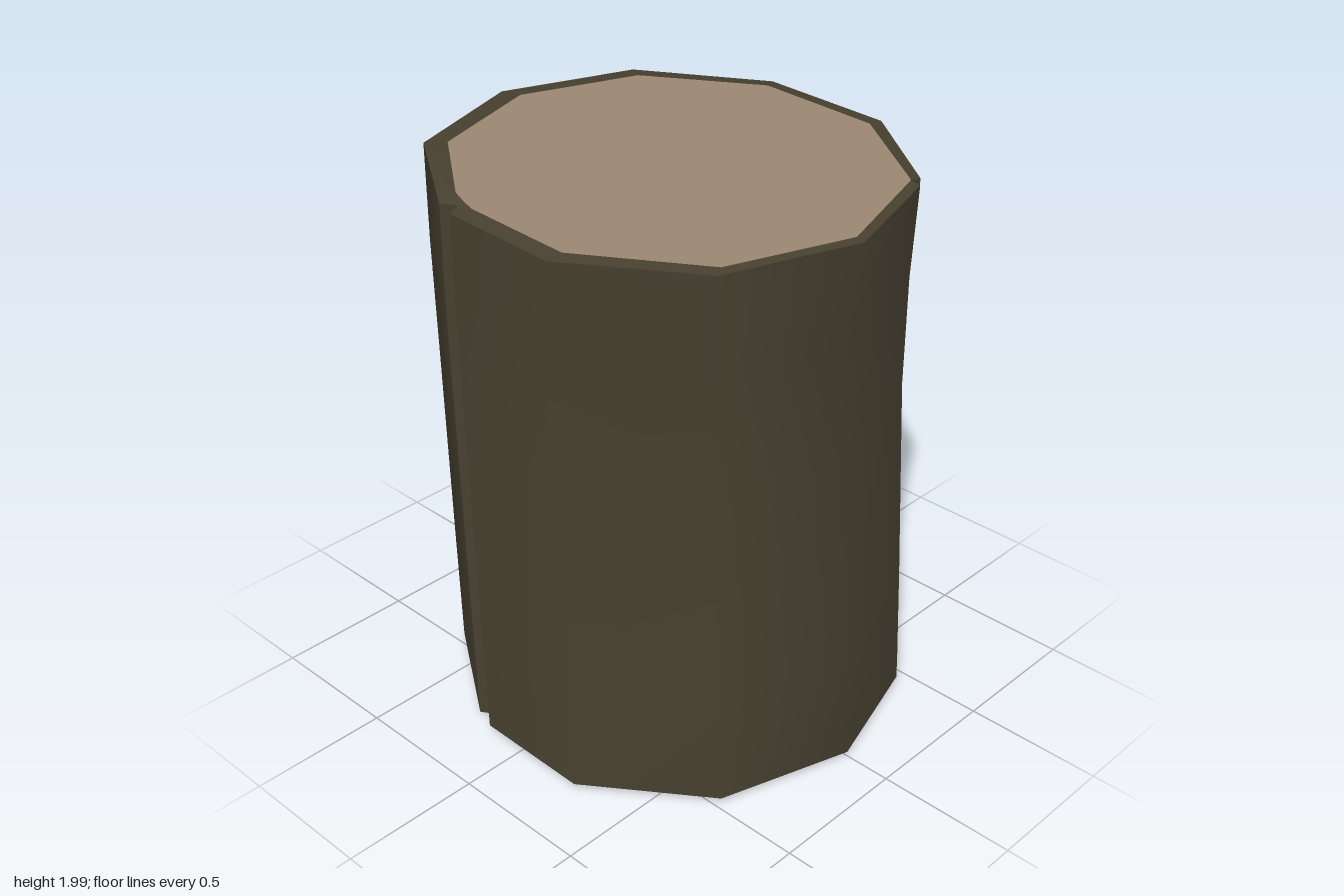
import * as THREE from 'three';
import { toCreasedNormals } from 'three/addons/utils/BufferGeometryUtils.js';

// Ten-sided outline with two split corners: bark x, z and heartwood x, z
const OUTLINE = [
  [0, 0.805, 0, 0.75],
  [0.445, 0.67, 0.43, 0.613], [0.432, 0.625, 0.438, 0.61], [0.49, 0.637, 0.446, 0.604],
  [0.77, 0.255, 0.70, 0.235],
  [0.77, -0.235, 0.70, -0.22],
  [0.485, -0.65, 0.43, -0.59],
  [0, -0.808, 0, -0.73],
  [-0.483, -0.645, -0.44, -0.59],
  [-0.743, -0.255, -0.67, -0.28], [-0.712, -0.203, -0.692, -0.22], [-0.768, -0.175, -0.71, -0.16],
  [-0.77, 0.255, -0.71, 0.235],
  [-0.476, 0.655, -0.44, 0.61],
];

// Rings up the trunk: height, tilt along z, shift in x and z, scale
const LEVELS = [
  [0.03, -0.012, 0, 0.022, 1.003],
  [0.45, -0.01, 0, 0.005, 0.998],
  [1.2, -0.015, 0.008, -0.035, 0.987],
  [1.62, -0.02, 0.004, -0.036, 0.99],
  [1.958, -0.035, -0.002, -0.02, 0.995],
];

function barkRing([y, tilt, dx, dz, s]) {
  return OUTLINE.map(([x, z]) => {
    const pz = z * s + dz;
    return [x * s + dx, y + tilt * pz, pz];
  });
}

function woodRing(y, tilt, s) {
  return OUTLINE.map(([, , x, z]) => [x * s, y + tilt * z * s, z * s]);
}

function toGeometry(positions) {
  const g = new THREE.BufferGeometry();
  g.setAttribute('position', new THREE.Float32BufferAttribute(positions, 3));
  return toCreasedNormals(g, Math.PI / 4);
}

// Skin joining consecutive rings
function loft(rings) {
  const p = [];
  for (let r = 0; r < rings.length - 1; r++) {
    const lo = rings[r], hi = rings[r + 1], n = lo.length;
    for (let i = 0; i < n; i++) {
      const j = (i + 1) % n;
      p.push(...lo[i], ...lo[j], ...hi[j], ...lo[i], ...hi[j], ...hi[i]);
    }
  }
  return toGeometry(p);
}

// Flat fan closing a ring
function cap(ring, y, up) {
  const p = [];
  ring.forEach((a, i) => {
    const b = ring[(i + 1) % ring.length];
    p.push(0, y, 0, ...(up ? a : b), ...(up ? b : a));
  });
  return toGeometry(p);
}

export function createModel() {
  const bark = new THREE.MeshStandardMaterial({ color: 0x474030 });
  bark.name = 'bark';
  const wood = new THREE.MeshStandardMaterial({ color: 0x9a8772 });
  wood.name = 'cutWood';

  const group = new THREE.Group();
  group.name = 'log';
  const add = (name, geometry, material) => {
    const mesh = new THREE.Mesh(geometry, material);
    mesh.name = name;
    group.add(mesh);
  };

  const rings = LEVELS.map(barkRing);
  const topWood = woodRing(1.968, -0.041, 1);
  const bottomWood = woodRing(0.012, -0.013, 0.93);

  // Bark sides and the rims around each cut
  add('barkSides', loft(rings), bark);
  add('topRim', loft([rings[rings.length - 1], topWood]), bark);
  add('bottomRim', loft([bottomWood, rings[0]]), bark);

  // Cut ends
  add('topCut', cap(topWood, 1.968, true), wood);
  add('bottomCut', cap(bottomWood, 0.012, false), wood);
  return group;
}
